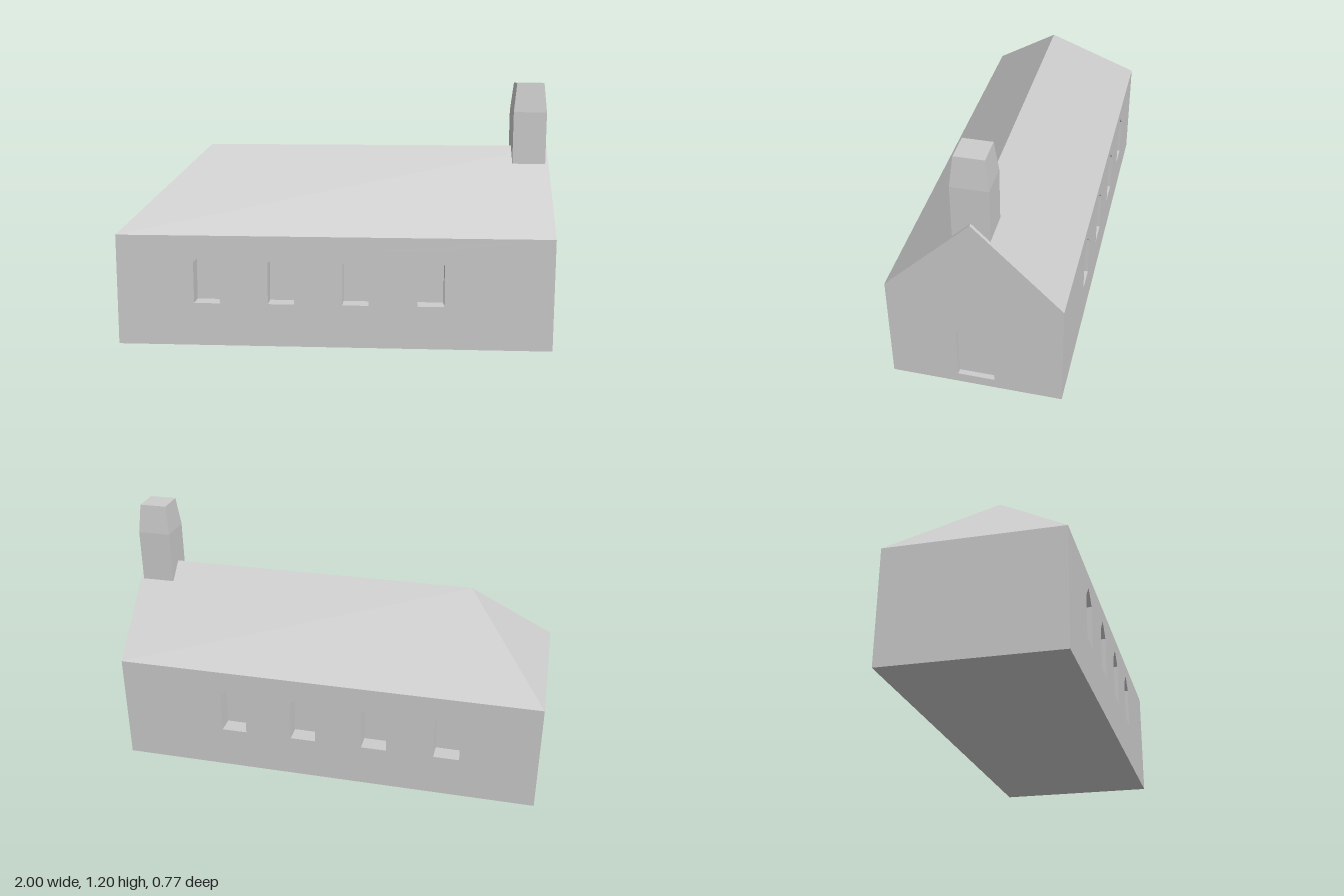
import * as THREE from 'three';

const HALF_X = 1, HALF_Z = 0.383, EAVES = 0.517, RIDGE = 0.9, HIP_X = -0.617;

// Flat-shaded geometry from planar convex polygons (corners counter-clockwise from outside)
function polygons(faces) {
  const pos = [];
  for (const f of faces) {
    for (let i = 1; i < f.length - 1; i++) pos.push(...f[0], ...f[i], ...f[i + 1]);
  }
  const g = new THREE.BufferGeometry();
  g.setAttribute('position', new THREE.Float32BufferAttribute(pos, 3));
  g.computeVertexNormals();
  return g;
}

// Pointed opening outline, counter-clockwise
function pointedOutline(cx, halfWidth, sill, shoulder, apex) {
  return [
    [cx - halfWidth, sill], [cx + halfWidth, sill],
    [cx + halfWidth, shoulder], [cx, apex], [cx - halfWidth, shoulder],
  ];
}

export function createModel() {
  const stone = new THREE.MeshStandardMaterial({ color: 0xcccccc });
  stone.name = 'stone grey';

  const model = new THREE.Group();
  model.name = 'chapel';

  const add = (parent, name, geometry) => {
    const mesh = new THREE.Mesh(geometry, stone);
    mesh.name = name;
    parent.add(mesh);
    return mesh;
  };
  const toShape = (pts) => new THREE.Shape(pts.map(([x, y]) => new THREE.Vector2(x, y)));

  // Wall facing local +z, with recessed openings
  function addWall(name, outline, openings, openingName, depth) {
    const wall = new THREE.Group();
    wall.name = name;
    const shape = toShape(outline);
    for (const o of openings) shape.holes.push(toShape(o));
    add(wall, name + 'Face', new THREE.ShapeGeometry(shape));
    openings.forEach((o, n) => {
      const faces = o.map(([ax, ay], i) => {
        const [bx, by] = o[(i + 1) % o.length];
        return [[ax, ay, 0], [bx, by, 0], [bx, by, -depth], [ax, ay, -depth]];
      });
      faces.push(o.map(([x, y]) => [x, y, -depth]));
      add(wall, openingName + (n + 1), polygons(faces));
    });
    model.add(wall);
    return wall;
  }

  // Long side walls with four windows each
  const longOutline = [[-HALF_X, 0], [HALF_X, 0], [HALF_X, EAVES], [-HALF_X, EAVES]];
  for (const side of [1, -1]) {
    const windows = [0, 1, 2, 3].map((i) =>
      pointedOutline(side * (-0.582 + i * 0.343), 0.06, 0.2, 0.393, 0.452));
    const wall = addWall(side > 0 ? 'frontWall' : 'backWall', longOutline, windows, 'window', 0.08);
    wall.position.z = side * HALF_Z;
    if (side < 0) wall.rotation.y = Math.PI;
  }

  // Gable end with the door
  const gable = addWall('gableWall',
    [[-HALF_Z, 0], [HALF_Z, 0], [HALF_Z, EAVES], [0, RIDGE], [-HALF_Z, EAVES]],
    [pointedOutline(0, 0.082, 0.047, 0.303, 0.383)], 'door', 0.025);
  gable.position.x = HALF_X;
  gable.rotation.y = Math.PI / 2;

  // Plain end wall under the hip
  const end = addWall('hipEndWall',
    [[-HALF_Z, 0], [HALF_Z, 0], [HALF_Z, EAVES], [-HALF_Z, EAVES]], [], '', 0);
  end.position.x = -HALF_X;
  end.rotation.y = -Math.PI / 2;

  // Roof: two slopes and one hip
  const fl = [-HALF_X, EAVES, HALF_Z], fr = [HALF_X, EAVES, HALF_Z];
  const bl = [-HALF_X, EAVES, -HALF_Z], br = [HALF_X, EAVES, -HALF_Z];
  const hip = [HIP_X, RIDGE, 0], peak = [HALF_X, RIDGE, 0];
  add(model, 'roof', polygons([[fl, fr, peak, hip], [br, bl, hip, peak], [bl, fl, hip]]));

  // Underside
  add(model, 'base', polygons([[
    [-HALF_X, 0, -HALF_Z], [HALF_X, 0, -HALF_Z], [HALF_X, 0, HALF_Z], [-HALF_X, 0, HALF_Z],
  ]]));

  // Bell turret: straight shaft and tapered top
  const turret = new THREE.Group();
  turret.name = 'turret';
  turret.position.x = 0.908;
  const ring = (hx, y, hz) => [[-hx, y, hz], [hx, y, hz], [hx, y, -hz], [-hx, y, -hz]];
  const sides = (lo, hi) => lo.map((p, i) => {
    const j = (i + 1) % 4;
    return [p, lo[j], hi[j], hi[i]];
  });
  const bottom = ring(0.077, 0.822, 0.079);
  const middle = ring(0.077, 1.065, 0.079);
  const top = ring(0.063, 1.2, 0.063);
  add(turret, 'turretShaft', polygons([...sides(bottom, middle), [...bottom].reverse()]));
  add(turret, 'turretTop', polygons([...sides(middle, top), top]));
  model.add(turret);

  return model;
}
